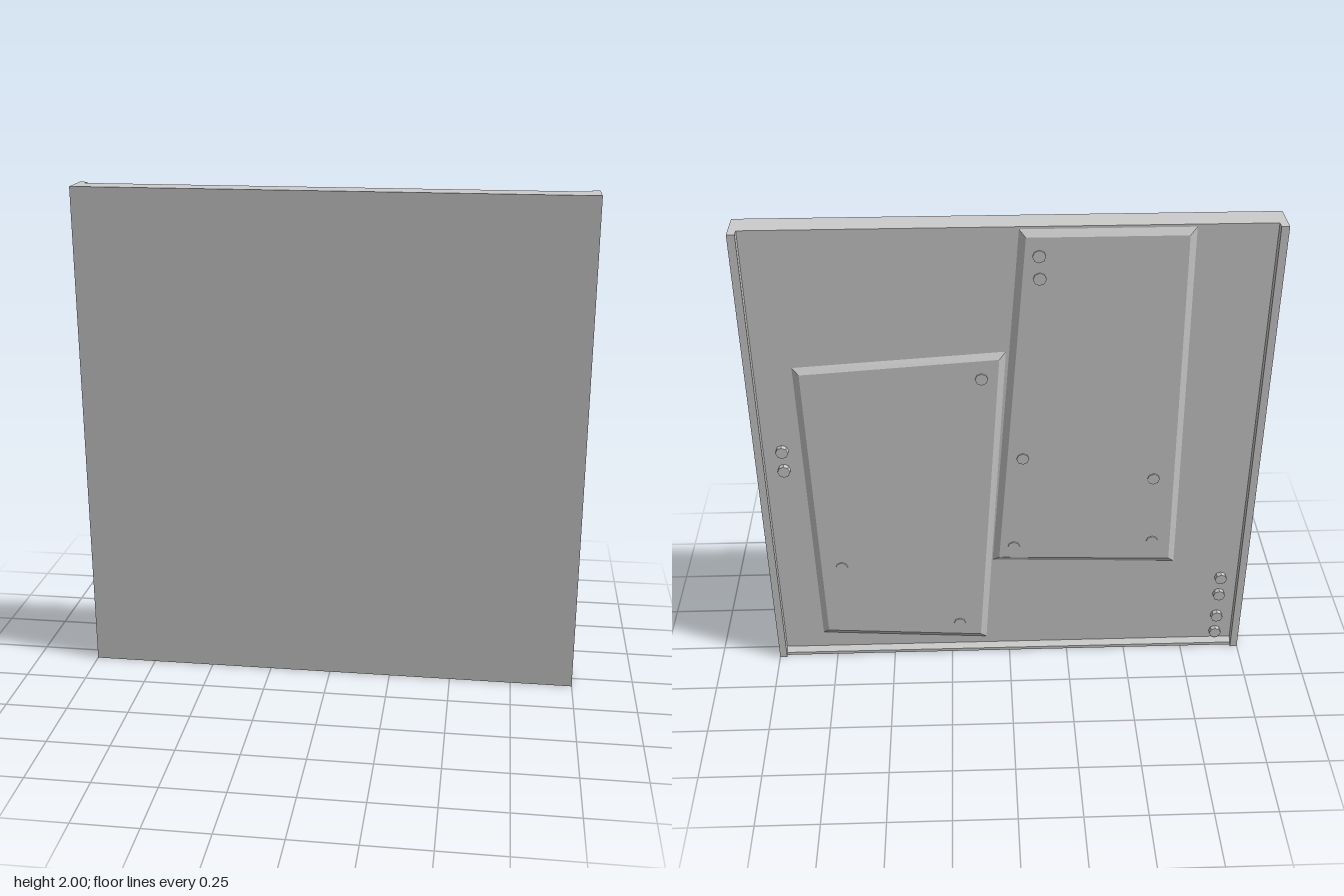
import * as THREE from 'three';

const material = new THREE.MeshStandardMaterial({ color: 0xcccccc, flatShading: true });
const BACK = -0.035; // rear face of the panel
const HALF = 0.068;  // half of the total depth
const BOLT_TOP = -0.056;
const LIP = 0.03;    // width of the side flanges

function add(group, name, geometry, x = 0, y = 0, z = 0) {
  const mesh = new THREE.Mesh(geometry, material);
  mesh.name = name;
  mesh.position.set(x, y, z);
  group.add(mesh);
  return mesh;
}

const outline = (points) => new THREE.Shape(points.map(([x, y]) => new THREE.Vector2(x, y)));

// Plate with chamfered edges; its rear half is sunk into the panel
function plateGeometry(corners) {
  return new THREE.ExtrudeGeometry(outline(corners), {
    depth: 0.002, bevelEnabled: true, bevelSegments: 1,
    bevelThickness: 0.016, bevelSize: 0.026, bevelOffset: -0.026,
  });
}

export function createModel() {
  const model = new THREE.Group();
  model.name = 'wallPanel';

  // Main slab
  add(model, 'slab', new THREE.BoxGeometry(2, 2, HALF - BACK), 0, 1, (HALF + BACK) / 2);

  // Side flanges along the back
  for (const side of [-1, 1]) {
    add(model, side > 0 ? 'leftFlange' : 'rightFlange',
      new THREE.BoxGeometry(LIP, 2, HALF + BACK), side * (1 - LIP / 2), 1, (BACK - HALF) / 2);
  }

  // Sloped ledge along the bottom
  const ledge = new THREE.ExtrudeGeometry(
    outline([[-BACK, 0], [0.055, 0], [0.055, 0.014], [-BACK, 0.032]]),
    { depth: 2 - 2 * LIP, bevelEnabled: false });
  ledge.rotateY(Math.PI / 2);
  add(model, 'bottomLedge', ledge, -1 + LIP, 0, 0);

  // Two skewed plates sharing a slanted seam
  add(model, 'lowerPlate',
    plateGeometry([[0.013, 1.49], [0.1, 0.065], [0.805, 0.11], [0.825, 1.435]].reverse()), 0, 0, BACK);
  add(model, 'upperPlate',
    plateGeometry([[-0.675, 1.99], [-0.693, 0.463], [0.07, 0.49], [-0.034, 1.99]]), 0, 0, BACK);

  // Bolt heads on the slab and on the plates
  const bolts = new THREE.Group();
  bolts.name = 'bolts';
  const boltGeometry = new THREE.CylinderGeometry(0.025, 0.025, BACK - BOLT_TOP, 8);
  boltGeometry.rotateX(-Math.PI / 2);
  const spots = [
    [0.895, 1.06], [0.895, 0.97],
    [-0.9, 0.37], [-0.9, 0.28], [-0.9, 0.16], [-0.9, 0.07],
    [0.107, 1.38], [0.7, 0.48], [0.214, 0.16],
    [-0.107, 1.89], [-0.11, 1.8], [-0.053, 1.01],
    [-0.58, 0.9], [-0.018, 0.57], [-0.592, 0.584],
  ];
  for (const [x, y] of spots) add(bolts, 'bolt', boltGeometry, x, y, (BACK + BOLT_TOP) / 2);
  model.add(bolts);

  return model;
}
